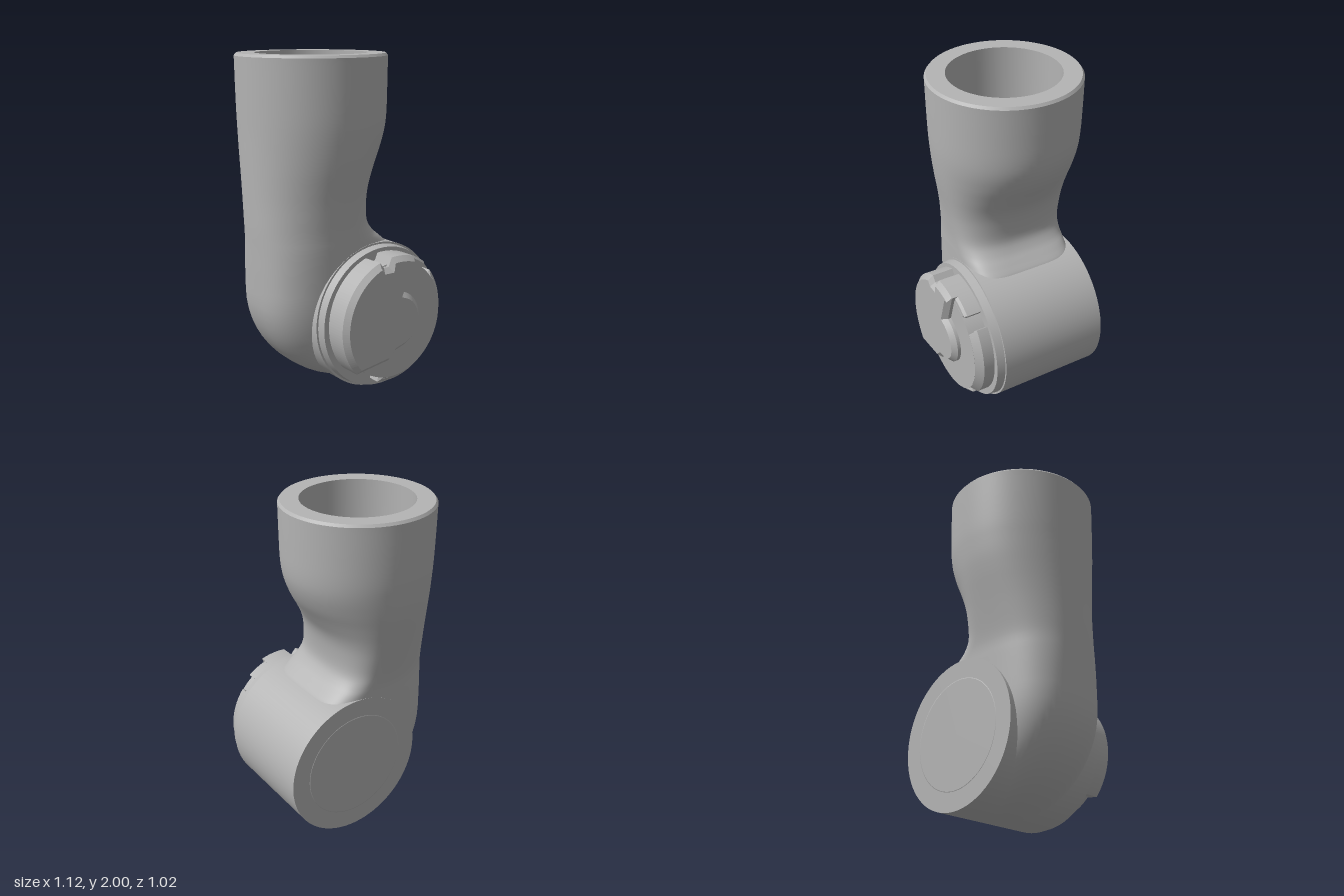
import * as THREE from 'three';

const gray = new THREE.MeshStandardMaterial({ color: 0xb4b4b4 });
gray.name = 'grey';
const JX = 0.11, JY = 0.45; // joint axis
const BEND = 0.6;           // height where the neck starts to bend under the joint

// neck cross-sections: y, left x, centre x, right x, back z, front z, squareness of right and left side
const sections = [
  [1.985, -0.558, -0.11, 0.338, -0.513, 0.383, 2, 2],
  [1.8, -0.555, -0.11, 0.336, -0.51, 0.381, 2, 2],
  [1.65, -0.552, -0.11, 0.332, -0.505, 0.378, 2, 2],
  [1.55, -0.55, -0.11, 0.315, -0.496, 0.372, 2, 2],
  [1.45, -0.549, -0.11, 0.275, -0.483, 0.362, 2, 2],
  [1.35, -0.548, -0.11, 0.215, -0.463, 0.348, 2.1, 2.02],
  [1.25, -0.547, -0.11, 0.16, -0.439, 0.331, 2.3, 2.06],
  [1.15, -0.546, -0.109, 0.135, -0.415, 0.316, 2.5, 2.12],
  [1.03, -0.545, -0.106, 0.13, -0.388, 0.304, 2.9, 2.22],
  [0.96, -0.543, -0.102, 0.165, -0.375, 0.3, 3.6, 2.3],
  [0.91, -0.541, -0.098, 0.217, -0.37, 0.299, 4.5, 2.38],
  [0.85, -0.539, -0.09, 0.272, -0.369, 0.298, 5, 2.48],
  [0.75, -0.536, -0.075, 0.27, -0.368, 0.297, 4, 2.62],
  [BEND, -0.53, -0.05, 0.26, -0.368, 0.297, 3, 2.8],
];

function add(group, name, geometry, x = 0, y = 0, z = 0) {
  const mesh = new THREE.Mesh(geometry, gray);
  mesh.name = name;
  mesh.position.set(x, y, z);
  group.add(mesh);
}

// smooth skin: straight neck from the cross-sections, then the last one swung under the joint
function neckGeometry() {
  const n = 72, steps = 4, bendRows = 14, pos = [], idx = [];
  const spline = new THREE.CubicInterpolant(sections.map((s, i) => i), sections.flat(), 8);
  const straightRows = (sections.length - 1) * steps;
  const rows = straightRows + bendRows;
  for (let i = 0; i <= rows; i++) {
    const [y, l, xc, r, zb, zf, eRight, eLeft] = spline.evaluate(Math.min(i, straightRows) / steps);
    const swing = Math.max(0, i - straightRows) / bendRows * Math.PI / 2;
    for (let j = 0; j < n; j++) {
      const t = (j / n) * Math.PI * 2, c = Math.cos(t), s = Math.sin(t);
      const p = 2 / (c > 0 ? eRight : eLeft);
      const dx = xc - JX + Math.sign(c) * Math.abs(c) ** p * (c > 0 ? r - xc : xc - l);
      const z = (zb + zf) / 2 + Math.sign(s) * Math.abs(s) ** p * (zf - zb) / 2;
      pos.push(JX + dx * Math.cos(swing), y + dx * Math.sin(swing) * 0.935, z);
    }
  }
  for (let i = 0; i < rows; i++) {
    for (let j = 0; j < n; j++) {
      const a = i * n + j, b = i * n + (j + 1) % n;
      idx.push(a, b, a + n, b, b + n, a + n);
    }
  }
  const g = new THREE.BufferGeometry();
  g.setAttribute('position', new THREE.Float32BufferAttribute(pos, 3));
  g.setIndex(idx);
  g.computeVertexNormals();
  return g;
}

// cylinder lying along z from z0 to z1
function zCylinder(rBack, rFront, z0, z1, open = false) {
  return new THREE.CylinderGeometry(rFront, rBack, z1 - z0, 72, 1, open)
    .rotateX(Math.PI / 2).translate(0, 0, (z0 + z1) / 2);
}

// plate from z0 to z1 whose front edge is chamfered inside its outline
function plate(shape, z0, z1, chamfer) {
  return new THREE.ExtrudeGeometry(shape, {
    depth: z1 - z0 - 2 * chamfer, bevelEnabled: true, bevelSegments: 1,
    bevelSize: chamfer, bevelThickness: chamfer, bevelOffset: -chamfer, curveSegments: 24,
  }).translate(0, 0, z0 + chamfer);
}

// sector of a ring between two angles in degrees
function sector(r0, r1, from, to) {
  const a = THREE.MathUtils.degToRad(from), b = THREE.MathUtils.degToRad(to);
  const s = new THREE.Shape();
  s.absarc(0, 0, r1, a, b, false);
  s.absarc(0, 0, r0, b, a, true);
  return s;
}

export function createModel() {
  const model = new THREE.Group();
  model.name = 'jointLink';

  // Neck and its open socket
  add(model, 'neck', neckGeometry());
  const socket = new THREE.Group();
  socket.name = 'socket';
  socket.position.set(-0.11, 0, -0.065);
  model.add(socket);
  add(socket, 'rimChamfer', new THREE.CylinderGeometry(0.436, 0.448, 0.015, 72, 1, true), 0, 1.9925);
  add(socket, 'rim', new THREE.RingGeometry(0.33, 0.436, 72).rotateX(-Math.PI / 2), 0, 2);
  const wall = [new THREE.Vector2(0.33, 2), new THREE.Vector2(0.33, 1.55)];
  add(socket, 'socketWall', new THREE.LatheGeometry(wall, 72));
  add(socket, 'socketFloor', new THREE.CircleGeometry(0.33, 72).rotateX(-Math.PI / 2), 0, 1.55);

  // Joint barrel with front flange and back cover
  const joint = new THREE.Group();
  joint.name = 'joint';
  joint.position.set(JX, JY, 0);
  model.add(joint);
  add(joint, 'barrel', zCylinder(0.447, 0.447, -0.37, 0.3, true));
  add(joint, 'barrelFront', new THREE.RingGeometry(0.3, 0.447, 72), 0, 0, 0.3);
  add(joint, 'backRim', new THREE.RingGeometry(0.333, 0.447, 72).rotateY(Math.PI), 0, 0, -0.37);
  add(joint, 'backCover', zCylinder(0.329, 0.35, -0.37, -0.36));
  add(joint, 'flange', zCylinder(0.437, 0.428, 0.29, 0.35));

  // Locking disc with chamfered tabs around it
  const lock = new THREE.Group();
  lock.name = 'lock';
  lock.position.set(JX, 0.46, 0);
  model.add(lock);
  add(lock, 'lockDisc', zCylinder(0.355, 0.355, 0.34, 0.46));
  for (const [from, to] of [[-40, 38], [-103, -52]]) {
    add(lock, 'lockTab', plate(sector(0.29, 0.395, from, to), 0.3, 0.459, 0.04));
  }
  add(lock, 'lockStop', plate(sector(0.3, 0.395, 52, 76), 0.3, 0.458, 0.015));

  // Raised key plate: round on the left, stepped around the hub on the right
  const key = new THREE.Shape();
  key.absarc(0, 0, 0.175, 1.25, -1.3, true);
  key.lineTo(-0.01, -0.185);
  key.lineTo(-0.055, -0.235);
  key.absarc(0, 0, 0.395, -2.4, -4.38, true);
  key.lineTo(-0.1, 0.34);
  key.lineTo(-0.065, 0.34);
  key.absarc(0, 0, 0.395, 1.68, 1.25, true);
  add(lock, 'keyPlate', plate(key, 0.3, 0.51, 0.03));

  return model;
}
